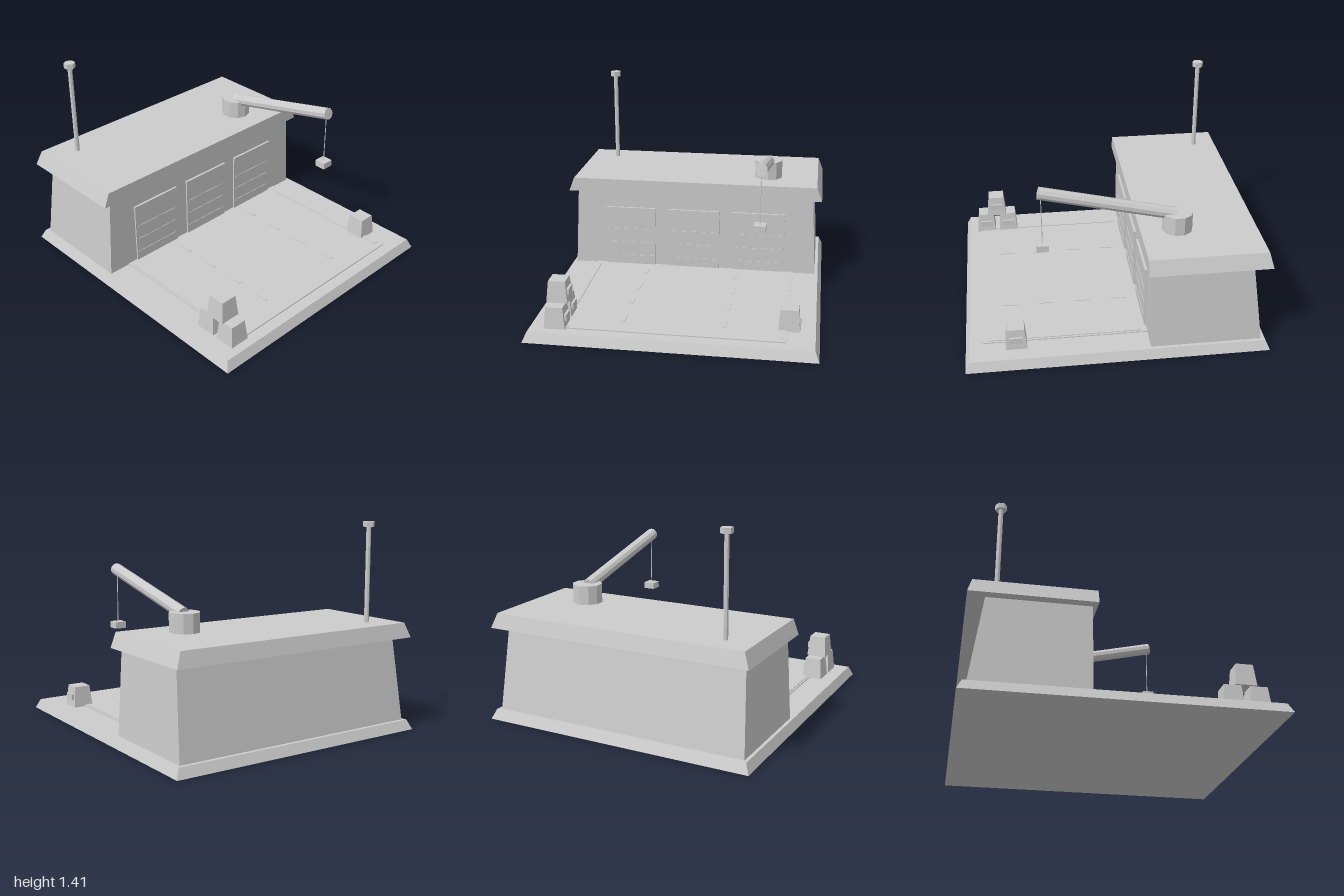
import * as THREE from 'three';

const material = new THREE.MeshStandardMaterial({ color: 0xcccccc, flatShading: true });

function add(parent, name, geometry, x = 0, y = 0, z = 0) {
  const mesh = new THREE.Mesh(geometry, material);
  mesh.name = name;
  mesh.position.set(x, y, z);
  parent.add(mesh);
  return mesh;
}

const box = (w, h, d) => new THREE.BoxGeometry(w, h, d);

// Box with separate bottom and top rectangles: [halfWidth, zBack, zFront]
function taperedBox(y0, y1, bottom, top) {
  const geometry = new THREE.BoxGeometry(2, 2, 2);
  const p = geometry.attributes.position;
  for (let i = 0; i < p.count; i++) {
    const up = p.getY(i) > 0;
    const [halfWidth, back, front] = up ? top : bottom;
    p.setXYZ(i, Math.sign(p.getX(i)) * halfWidth, up ? y1 : y0, p.getZ(i) > 0 ? front : back);
  }
  geometry.computeVertexNormals();
  return geometry;
}

// Cylinder running between two points
function rod(parent, name, from, to, radius, sides) {
  const direction = to.clone().sub(from);
  const mesh = add(parent, name, new THREE.CylinderGeometry(radius, radius, direction.length(), sides));
  mesh.position.copy(from).add(to).multiplyScalar(0.5);
  mesh.quaternion.setFromUnitVectors(new THREE.Vector3(0, 1, 0), direction.normalize());
  return mesh;
}

function group(parent, name, x = 0, y = 0, z = 0) {
  const g = new THREE.Group();
  g.name = name;
  g.position.set(x, y, z);
  parent.add(g);
  return g;
}

export function createModel() {
  const model = new THREE.Group();
  model.name = 'vehicleDepot';
  const floor = 0.065;

  // Ground slab, building and overhanging roof
  add(model, 'foundation', taperedBox(0, floor, [0.943, -1, 1], [0.915, -0.97, 0.97]));
  add(model, 'building', taperedBox(floor, 0.64, [0.893, -0.945, -0.21], [0.86, -0.865, -0.21]));
  add(model, 'roof', taperedBox(0.635, 0.735, [0.923, -0.976, -0.18], [0.885, -0.95, -0.18]));

  // Paved apron with side rails and lane dashes
  add(model, 'apron', box(1.47, 0.008, 1.1), 0, floor + 0.003, 0.34);
  for (const side of [-1, 1]) {
    add(model, 'sideRail', box(0.03, 0.012, 1.02), side * 0.707, floor + 0.006, 0.34);
    for (let i = 0; i < 4; i++) {
      add(model, 'laneDash', box(0.022, 0.008, 0.105), side * 0.33, floor + 0.007, -0.068 + i * 0.253);
    }
  }

  // Three garage doors with header and slats
  for (const x of [-0.475, 0, 0.475]) {
    const door = group(model, 'garageDoor', x, 0, -0.205);
    add(door, 'doorPanel', box(0.375, 0.435, 0.012), 0, floor + 0.2175, 0);
    add(door, 'doorHeader', box(0.38, 0.026, 0.022), 0, 0.503, 0);
    for (const y of [0.135, 0.24, 0.345]) {
      add(door, 'doorSlat', box(0.34, 0.014, 0.02), 0, y, 0);
    }
  }

  // Antenna mast with hexagonal cap
  const mast = group(model, 'mast', -0.69, 0, -0.79);
  add(mast, 'mastPole', new THREE.CylinderGeometry(0.016, 0.016, 0.65, 8), 0, 1.055, 0);
  add(mast, 'mastCap', new THREE.CylinderGeometry(0.039, 0.039, 0.036, 6), 0, 1.393, 0);

  // Crane with turret, boom, cable and hook block
  const crane = group(model, 'crane', 0.525, 0, 0);
  add(crane, 'craneTurret', new THREE.CylinderGeometry(0.102, 0.102, 0.13, 10), 0, 0.798, -0.425);
  rod(crane, 'craneBoom', new THREE.Vector3(0, 0.848, -0.415), new THREE.Vector3(0, 1.058, 0.477), 0.042, 10);
  rod(crane, 'craneCable', new THREE.Vector3(0, 0.67, 0.46), new THREE.Vector3(0, 1.04, 0.46), 0.003, 6);
  add(crane, 'hookBlock', box(0.08, 0.045, 0.08), 0, 0.662, 0.46);

  // Tapered crates with a plate on the side
  const crates = [[-0.75, floor, 0.84], [-0.75, floor, 0.67], [-0.75, 0.21, 0.755], [0.745, floor, 0.665]];
  for (const [x, y, z] of crates) {
    const crate = group(model, 'crate', x, y, z);
    add(crate, 'crateBody', taperedBox(0, 0.145, [0.07, -0.07, 0.07], [0.056, -0.056, 0.056]));
    add(crate, 'cratePlate', box(0.02, 0.04, 0.088), 0.067, 0.071, 0);
  }

  return model;
}
